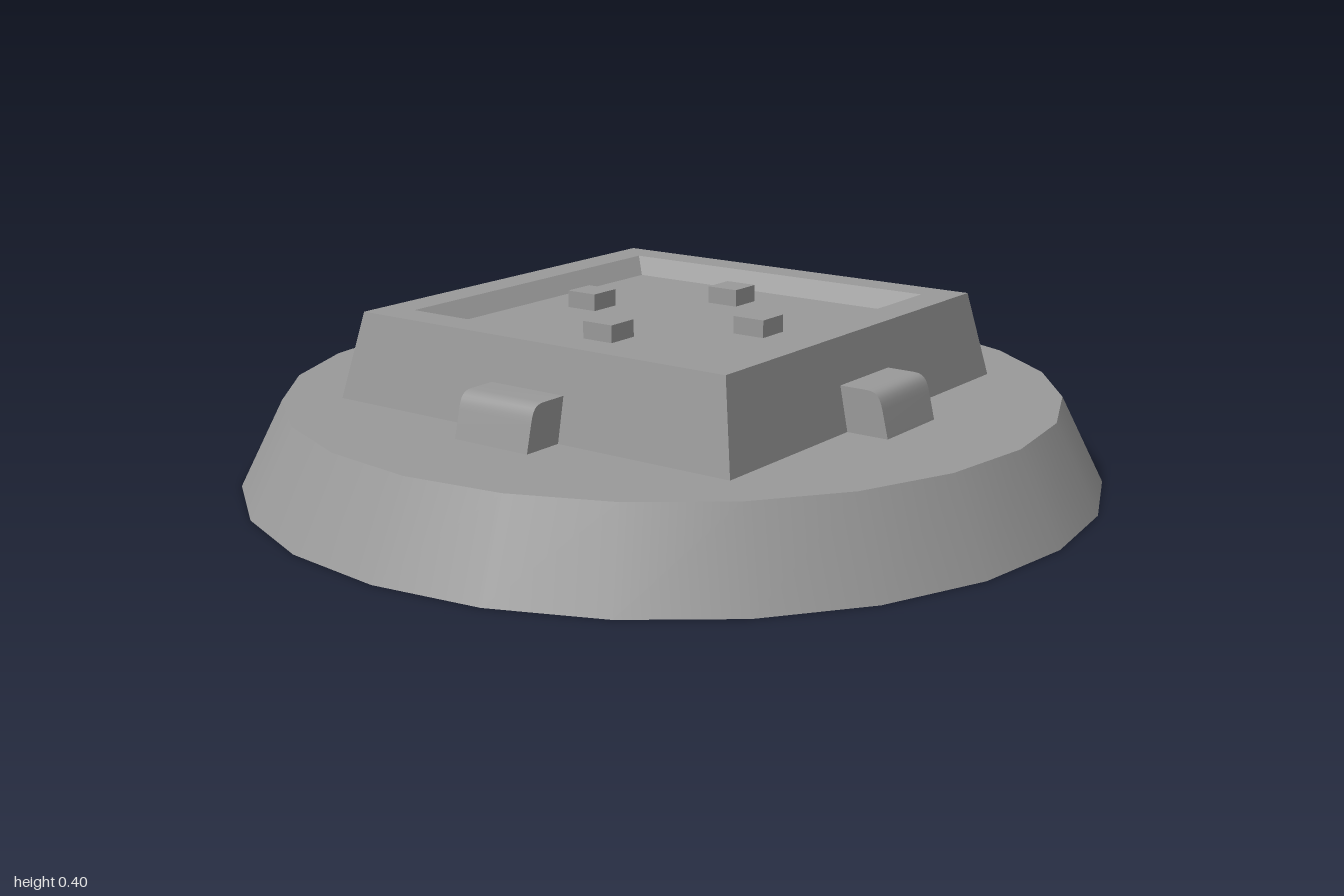
import * as THREE from 'three';
import { toCreasedNormals } from 'three/addons/utils/BufferGeometryUtils.js';

export function createModel() {
  const model = new THREE.Group();
  model.name = 'pedestalBase';
  const grey = new THREE.MeshStandardMaterial({ color: 0x999999 });
  grey.name = 'stone grey';

  const add = (name, geometry, parent = model) => {
    const mesh = new THREE.Mesh(geometry, grey);
    mesh.name = name;
    parent.add(mesh);
    return mesh;
  };

  // Round tapered base
  add('base', new THREE.CylinderGeometry(0.9, 1, 0.2, 24)).position.y = 0.1;

  // Square socket: sloped walls, flat rim, shallow chamfered recess
  const profile = [[0.54, 0.2], [0.5, 0.4], [0.42, 0.4], [0.38, 0.36], [0, 0.36]]
    .map(([half, y]) => new THREE.Vector2(half * Math.SQRT2, y));
  const socket = new THREE.LatheGeometry(profile, 4, Math.PI / 4);
  add('socket', toCreasedNormals(socket, 0.3));

  // Rounded clip profile, drawn outwards along x and extruded across its width
  const clip = new THREE.Shape();
  clip.moveTo(0.5, 0.2);
  clip.lineTo(0.64, 0.2);
  clip.lineTo(0.625, 0.262);
  clip.bezierCurveTo(0.618, 0.29, 0.61, 0.3, 0.585, 0.3);
  clip.lineTo(0.5, 0.3);
  clip.closePath();
  const clipGeometry = toCreasedNormals(
    new THREE.ExtrudeGeometry(clip, { depth: 0.2, bevelEnabled: false, curveSegments: 6 })
      .translate(0, 0, -0.1), 0.7);
  const pegGeometry = new THREE.BoxGeometry(0.08, 0.04, 0.08);

  // One clip and one peg on each side
  ['left', 'back', 'right', 'front'].forEach((side, i) => {
    const arm = new THREE.Group();
    arm.name = side + 'Fittings';
    arm.rotation.y = i * Math.PI / 2;
    add(side + 'Clip', clipGeometry, arm);
    add(side + 'Peg', pegGeometry, arm).position.set(0.24, 0.38, 0);
    model.add(arm);
  });

  return model;
}
